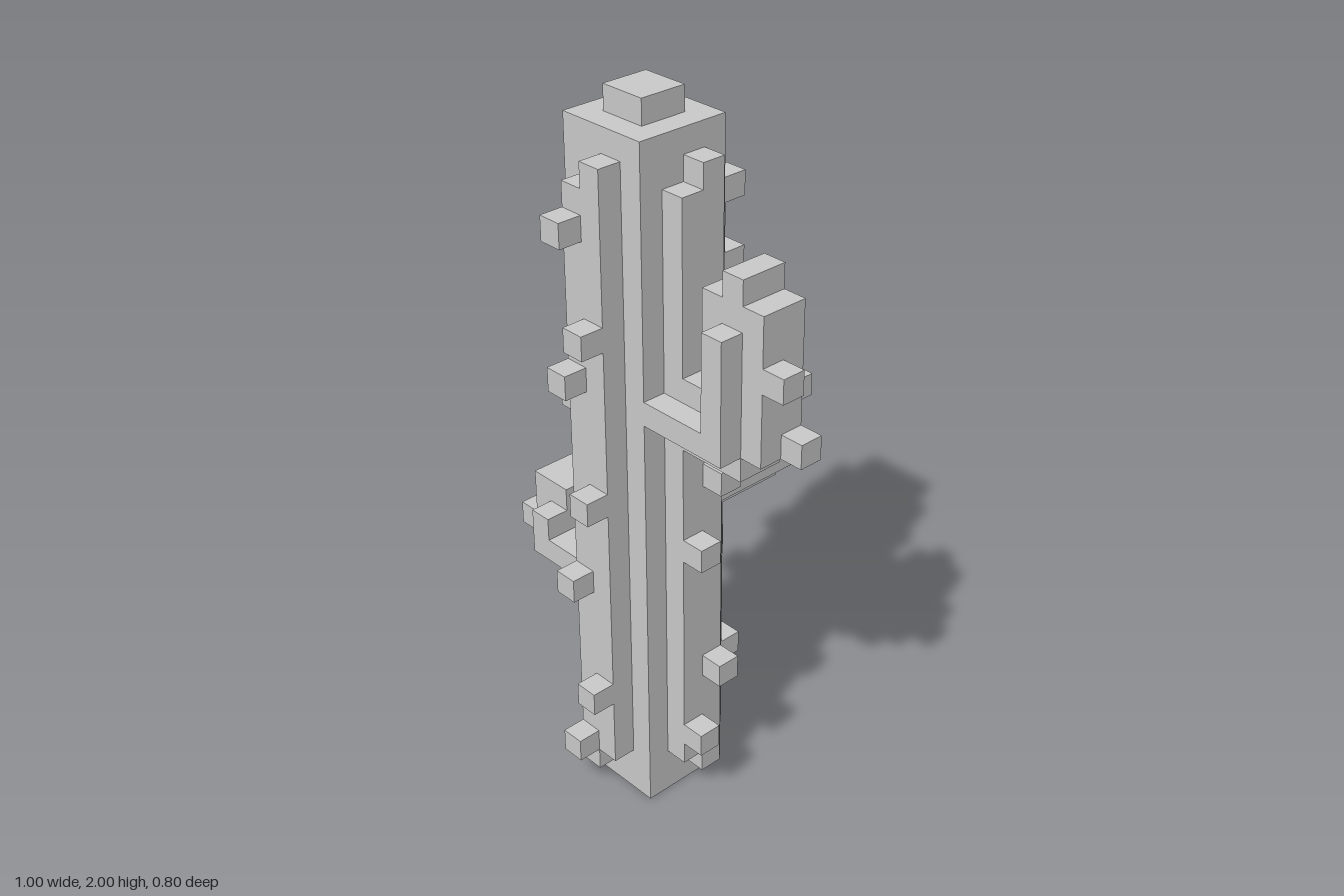
import * as THREE from 'three';

const U = 2 / 30; // one block
const material = new THREE.MeshStandardMaterial({ color: 0xcccccc, flatShading: true });

// Box between two corners, counted in blocks
function block(parent, name, [x0, x1], [y0, y1], [z0, z1]) {
  const mesh = new THREE.Mesh(
    new THREE.BoxGeometry((x1 - x0) * U, (y1 - y0) * U, (z1 - z0) * U), material);
  mesh.position.set((x0 + x1) / 2 * U, (y0 + y1) / 2 * U, (z0 + z1) / 2 * U);
  mesh.name = name;
  parent.add(mesh);
}

// half: -1 or 1 picks one of the two block columns of a rib
const column = half => (half < 0 ? [-1, 0] : [0, 1]);

// Upturned arm growing along +x from the trunk face at x = 2
function addArm(side, a) {
  const arm = new THREE.Group();
  arm.name = 'arm';
  arm.position.x = 2 * U;
  const { base, top, reach, rib, ribBase, underside } = a;
  block(arm, 'armBranch', [1, reach], [base, base + 2], [-1, 1]);
  block(arm, 'armUpright', [2, reach], [base + 2, top], [-1, 1]);
  block(arm, 'armUnderRib', [1, underside], [base - 1, base], [-1, 1]);
  if (a.cap) block(arm, 'armCap', [3, 4], [top, top + 1], [-1, 1]);
  for (const z of [[-2, -1], [1, 2]]) {
    block(arm, 'armSideRib', [0, rib + 1], [ribBase, ribBase + 1], z);
    block(arm, 'armUprightRib', [rib, rib + 1], [ribBase + 1, top - 1], z);
  }
  for (const [y, half] of a.thorns)
    block(arm, 'armThorn', [reach, reach + 1], [y, y + 1], column(half));
  side.add(arm);
}

// Each side faces local +x before turning; ribs list [bottom, top] for both columns
const sides = [
  {
    name: 'leftSide', turn: 0, ribs: [[1, 28], [2, 27]],
    thorns: [[15, -1], [12, 1], [6, -1], [3, 1]],
    arm: { base: 18, top: 24, reach: 5, rib: 3, ribBase: 18, underside: 4, cap: true,
      thorns: [[21, 1], [18, -1]] },
  },
  {
    name: 'backSide', turn: 1, ribs: [[2, 27], [1, 26]],
    thorns: [[25, 1], [22, 1], [19, -1], [9, -1], [4, 1]],
    arm: { base: 13, top: 17, reach: 5, rib: 3, ribBase: 13, underside: 4, cap: true,
      thorns: [[15, 1], [13, -1]] },
  },
  {
    name: 'rightSide', turn: 2, ribs: [[2, 27], [1, 28]],
    thorns: [[20, 1], [16, -1], [2, 1]],
    arm: { base: 8, top: 12, reach: 4, rib: 2, ribBase: 9, underside: 2, cap: false,
      thorns: [[9, -1]] },
  },
  {
    name: 'frontSide', turn: 3, ribs: [[2, 28], [1, 27]],
    thorns: [[25, 1], [21, -1], [19, 1], [14, -1], [10, 1], [5, -1], [2, 1]],
  },
];

export function createModel() {
  const model = new THREE.Group();
  model.name = 'cactus';

  // Everything is laid out around the trunk axis
  const plant = new THREE.Group();
  plant.name = 'plant';
  plant.position.set(-0.5 * U, 0, 2 * U);
  model.add(plant);

  block(plant, 'trunk', [-2, 2], [0, 29], [-2, 2]);
  block(plant, 'trunkCap', [-1, 1], [29, 30], [-1, 1]);

  for (const s of sides) {
    const side = new THREE.Group();
    side.name = s.name;
    side.rotation.y = s.turn * Math.PI / 2;
    s.ribs.forEach((y, i) => block(side, 'trunkRib', [2, 3], y, column(i ? 1 : -1)));
    for (const [y, half] of s.thorns)
      block(side, 'thorn', [3, 4], [y, y + 1], column(half));
    if (s.arm) addArm(side, s.arm);
    plant.add(side);
  }
  return model;
}
